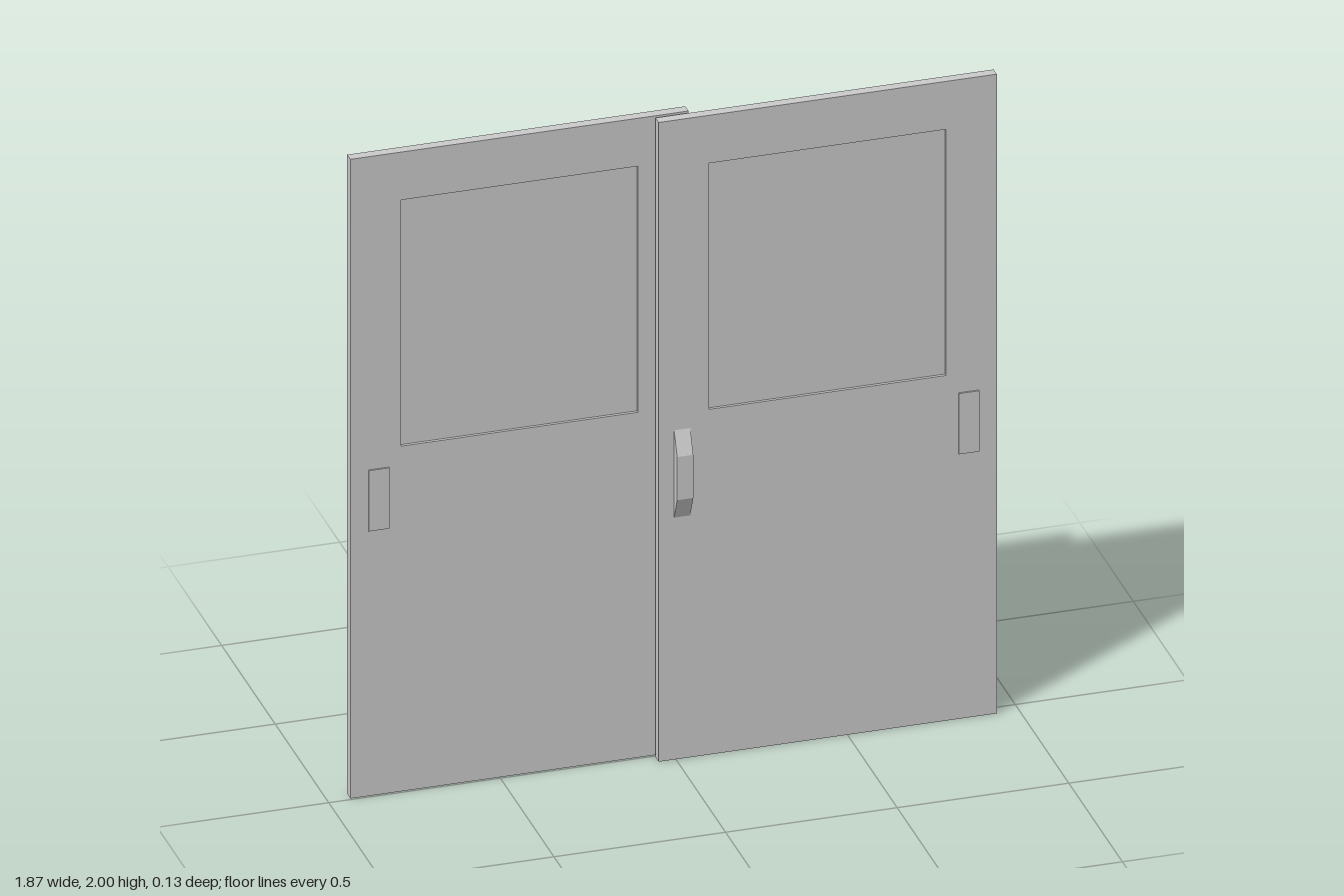
import * as THREE from 'three';

const material = new THREE.MeshStandardMaterial({ color: 0xcccccc, flatShading: true });

// Rectangle outline from two corners
function rect(path, x0, y0, x1, y1) {
  path.moveTo(x0, y0);
  path.lineTo(x1, y0);
  path.lineTo(x1, y1);
  path.lineTo(x0, y1);
  path.closePath();
  return path;
}

// Box between two corners
function box(name, [x0, y0, z0], [x1, y1, z1]) {
  const mesh = new THREE.Mesh(new THREE.BoxGeometry(x1 - x0, y1 - y0, z1 - z0), material);
  mesh.position.set((x0 + x1) / 2, (y0 + y1) / 2, (z0 + z1) / 2);
  mesh.name = name;
  return mesh;
}

// One sliding leaf, on the front track
function makeLeaf(name) {
  const leaf = new THREE.Group();
  leaf.name = name;
  const back = 0.006, front = 0.036;

  // Slab with a window opening
  const outline = rect(new THREE.Shape(), -0.05, 0, 0.935, 2);
  outline.holes.push(rect(new THREE.Path(), 0.097, 1.08, 0.787, 1.85));
  const slab = new THREE.Mesh(
    new THREE.ExtrudeGeometry(outline, { depth: front - back, bevelEnabled: false }), material);
  slab.position.z = back;
  slab.name = 'doorSlab';
  leaf.add(slab);

  // Window pane, recessed on both faces
  leaf.add(box('windowPane', [0.097, 1.08, back + 0.009], [0.787, 1.85, front - 0.009]));

  // Finger plate passing through the slab near the outer edge
  leaf.add(box('fingerPlate', [0.823, 0.83, back - 0.005], [0.883, 1.02, front + 0.005]));

  // Pull handle with sloped ends: side profile (depth, height) extruded across x
  const profile = new THREE.Shape([
    [front - 0.002, 0.757], [front, 0.757], [0.064, 0.825],
    [0.064, 0.96], [front, 1.03], [front - 0.002, 1.03],
  ].map(([z, y]) => new THREE.Vector2(-z, y)));
  const handleGeometry = new THREE.ExtrudeGeometry(profile, { depth: 0.047, bevelEnabled: false });
  handleGeometry.rotateY(Math.PI / 2);
  const handle = new THREE.Mesh(handleGeometry, material);
  handle.position.x = -0.005;
  handle.name = 'pullHandle';
  leaf.add(handle);
  return leaf;
}

export function createModel() {
  const model = new THREE.Group();
  model.name = 'slidingDoubleDoor';
  // The rear leaf is the front leaf turned half way round
  const rear = makeLeaf('rearLeaf');
  rear.rotation.y = Math.PI;
  model.add(makeLeaf('frontLeaf'), rear);
  return model;
}
